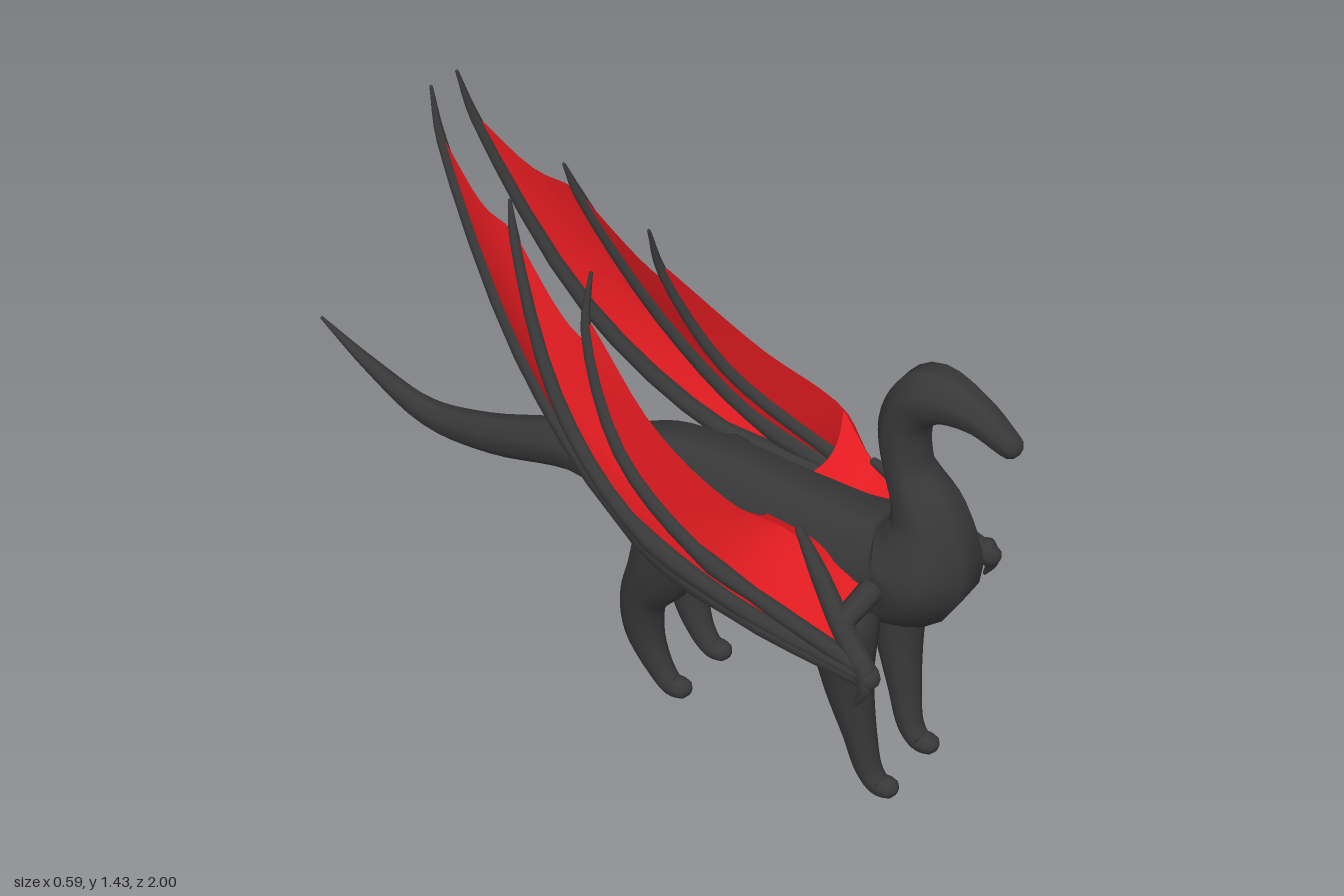
import * as THREE from 'three';

const DARK = new THREE.MeshStandardMaterial({ color: 0x383838 });
const RED = new THREE.MeshStandardMaterial({ color: 0xe01b20, side: THREE.DoubleSide });
const V = (x, y, z) => new THREE.Vector3(x, y, z);

const curveOf = pts => new THREE.CatmullRomCurve3(pts.map(p => V(p[0], p[1], p[2])));

function addMesh(parent, name, geometry, material) {
  const mesh = new THREE.Mesh(geometry, material);
  mesh.name = name;
  parent.add(mesh);
}

function gridGeometry(pos, rows, cols, wrap) {
  const index = [];
  const n = wrap ? cols : cols - 1;
  for (let i = 0; i < rows - 1; i++) for (let j = 0; j < n; j++) {
    const k = (j + 1) % cols;
    const a = i * cols + j, b = i * cols + k, c = a + cols, d = b + cols;
    index.push(a, b, c, b, d, c);
  }
  const g = new THREE.BufferGeometry();
  g.setAttribute('position', new THREE.Float32BufferAttribute(pos, 3));
  g.setIndex(index);
  g.computeVertexNormals();
  return g;
}

// Rounded tube through points [x, y, z, radiusAcross, radiusOther], flat side up
function sweep(pts, steps, sides, ref = V(1, 0, 0)) {
  const path = curveOf(pts);
  const radii = curveOf(pts.map(p => [p[3], p[4] ?? p[3], 0]));
  const total = (pts.length - 1) * steps;
  const grow = 1 / Math.cos(Math.PI / sides);
  const pos = [];
  const ring = (t, shift, scale) => {
    const T = path.getTangent(t);
    const S = ref.clone().addScaledVector(T, -ref.dot(T)).normalize();
    const N = T.clone().cross(S);
    const r = radii.getPoint(t);
    const c = path.getPoint(t).addScaledVector(T, shift * Math.min(r.x, r.y));
    for (let j = 0; j < sides; j++) {
      const a = (j + 0.5) / sides * Math.PI * 2;
      const p = c.clone().addScaledVector(S, Math.cos(a) * r.x * scale * grow)
        .addScaledVector(N, Math.sin(a) * r.y * scale * grow);
      pos.push(p.x, p.y, p.z);
    }
  };
  const caps = [0.001, 0.5, 0.87];
  caps.forEach(s => ring(0, -Math.sqrt(1 - s * s), s));
  for (let i = 0; i <= total; i++) ring(i / total, 0, 1);
  caps.reverse().forEach(s => ring(1, Math.sqrt(1 - s * s), s));
  return gridGeometry(pos, total + 1 + 6, sides, true);
}

// Skin stretched between two curves, with a scalloped trailing edge
function skin(a, b, a1, b1, scallop) {
  const rows = 20, cols = 9, pos = [];
  for (let i = 0; i < rows; i++) for (let j = 0; j < cols; j++) {
    const v = j / (cols - 1);
    const u = i / (rows - 1) * (1 - scallop * 4 * v * (1 - v));
    const p = a.getPoint(a1 * u).lerp(b.getPoint(b1 * u), v);
    pos.push(p.x, p.y, p.z);
  }
  return gridGeometry(pos, rows, cols, false);
}

const mirrorPts = (pts, s) => pts.map(([x, ...rest]) => [x * s, ...rest]);

// Head, neck, trunk and tail as one tapering form: [y, z, rx, ry]
const SPINE = [
  [1.045, 0.97, 0.03, 0.028], [1.09, 0.885, 0.045, 0.042], [1.1, 0.78, 0.064, 0.062],
  [1.02, 0.722, 0.06, 0.054], [0.9, 0.732, 0.061, 0.052], [0.77, 0.797, 0.09, 0.088],
  [0.64, 0.775, 0.127, 0.132], [0.6, 0.66, 0.123, 0.132], [0.605, 0.5, 0.108, 0.125],
  [0.625, 0.33, 0.098, 0.112], [0.605, 0.15, 0.098, 0.12], [0.57, 0, 0.086, 0.1],
  [0.545, -0.2, 0.058, 0.06], [0.47, -0.45, 0.04, 0.05], [0.45, -0.65, 0.032, 0.037],
  [0.52, -0.84, 0.019, 0.018], [0.6, -0.995, 0.004, 0.004]
];

const FRONT_LEG = [
  [0.1, 0.59, 0.67, 0.05, 0.06], [0.12, 0.49, 0.67, 0.08, 0.073], [0.112, 0.34, 0.68, 0.063, 0.056],
  [0.1, 0.17, 0.715, 0.04, 0.037], [0.094, 0.07, 0.742, 0.031, 0.03], [0.093, 0.037, 0.77, 0.028, 0.027],
  [0.092, 0.038, 0.795, 0.027, 0.025]
];
const HIND_LEG = [
  [0.085, 0.64, 0.22, 0.05, 0.06], [0.112, 0.54, 0.21, 0.073, 0.11], [0.115, 0.41, 0.16, 0.065, 0.084],
  [0.105, 0.29, 0.102, 0.05, 0.058], [0.095, 0.17, 0.097, 0.04, 0.05], [0.088, 0.07, 0.138, 0.031, 0.034],
  [0.087, 0.03, 0.175, 0.028, 0.028], [0.086, 0.031, 0.202, 0.027, 0.026]
];

// Wing bones, all meeting at the wrist
const FINGERS = [
  [[0.265, 0.5, 0.82, 0.02], [0.268, 0.535, 0.46, 0.022], [0.205, 0.6, 0.11, 0.022],
    [0.128, 0.862, -0.235, 0.019], [0.062, 1.31, -0.505, 0.012], [0.046, 1.43, -0.543, 0.004]],
  [[0.265, 0.51, 0.82, 0.02], [0.27, 0.555, 0.46, 0.02], [0.25, 0.64, 0.165, 0.02],
    [0.205, 0.855, -0.075, 0.018], [0.12, 1.17, -0.252, 0.012], [0.1, 1.25, -0.278, 0.004]],
  [[0.26, 0.52, 0.82, 0.02], [0.262, 0.58, 0.57, 0.019], [0.252, 0.64, 0.35, 0.019],
    [0.21, 0.78, 0.11, 0.017], [0.148, 1.02, -0.03, 0.012], [0.11, 1.15, -0.043, 0.004]]
];
const FOREARM = [[0.265, 0.51, 0.82, 0.026], [0.225, 0.585, 0.72, 0.025], [0.19, 0.66, 0.64, 0.021], [0.155, 0.73, 0.56, 0.01]];
const UPPER_ARM = [[0.08, 0.62, 0.73, 0.03], [0.15, 0.615, 0.73, 0.027], [0.225, 0.59, 0.72, 0.024]];
const CLAW = [[0.265, 0.53, 0.81, 0.022], [0.278, 0.485, 0.82, 0.015], [0.282, 0.437, 0.802, 0.004]];

function wing(s, label) {
  const g = new THREE.Group();
  g.name = label + 'Wing';
  const bones = FINGERS.map(f => mirrorPts(f, s));
  bones.forEach((f, i) => addMesh(g, 'wingFinger' + (i + 1), sweep(f, 4, 8), DARK));
  addMesh(g, 'forearm', sweep(mirrorPts(FOREARM, s), 4, 8), DARK);
  addMesh(g, 'upperArm', sweep(mirrorPts(UPPER_ARM, s), 4, 8, V(0, 0, 1)), DARK);
  addMesh(g, 'wristClaw', sweep(mirrorPts(CLAW, s), 4, 8), DARK);

  // Skins between neighbouring fingers
  const [c1, c2, c3] = bones.map(curveOf);
  addMesh(g, 'outerSkin', skin(c1, c2, 0.83, 0.83, 0.06), RED);
  addMesh(g, 'middleSkin', skin(c2, c3, 0.84, 0.78, 0.05), RED);

  // Skin from the last finger to the forearm and the free upper edge
  const edge = curveOf(mirrorPts([[0.26, 0.53, 0.81], [0.165, 0.715, 0.56], [0.225, 0.785, 0.43],
    [0.205, 0.875, 0.21], [0.145, 1.04, -0.015]], s));
  addMesh(g, 'innerSkin', skin(c3, edge, 0.82, 1, 0), RED);

  // Skin from the arm to the flank
  const flank = curveOf(mirrorPts([[0.08, 0.63, 0.72], [0.08, 0.66, 0.57], [0.08, 0.67, 0.42]], s));
  const arm = curveOf(mirrorPts([[0.225, 0.59, 0.72], [0.17, 0.7, 0.57], [0.225, 0.78, 0.43]], s));
  addMesh(g, 'flankSkin', skin(flank, arm, 1, 1, 0.1), RED);
  return g;
}

export function createModel() {
  const model = new THREE.Group();
  model.name = 'wingedDragon';
  addMesh(model, 'body', sweep(SPINE.map(p => [0, ...p]), 5, 8), DARK);
  for (const [s, label] of [[1, 'left'], [-1, 'right']]) {
    addMesh(model, label + 'FrontLeg', sweep(mirrorPts(FRONT_LEG, s), 5, 10), DARK);
    addMesh(model, label + 'HindLeg', sweep(mirrorPts(HIND_LEG, s), 5, 10), DARK);
    model.add(wing(s, label));
  }
  return model;
}
